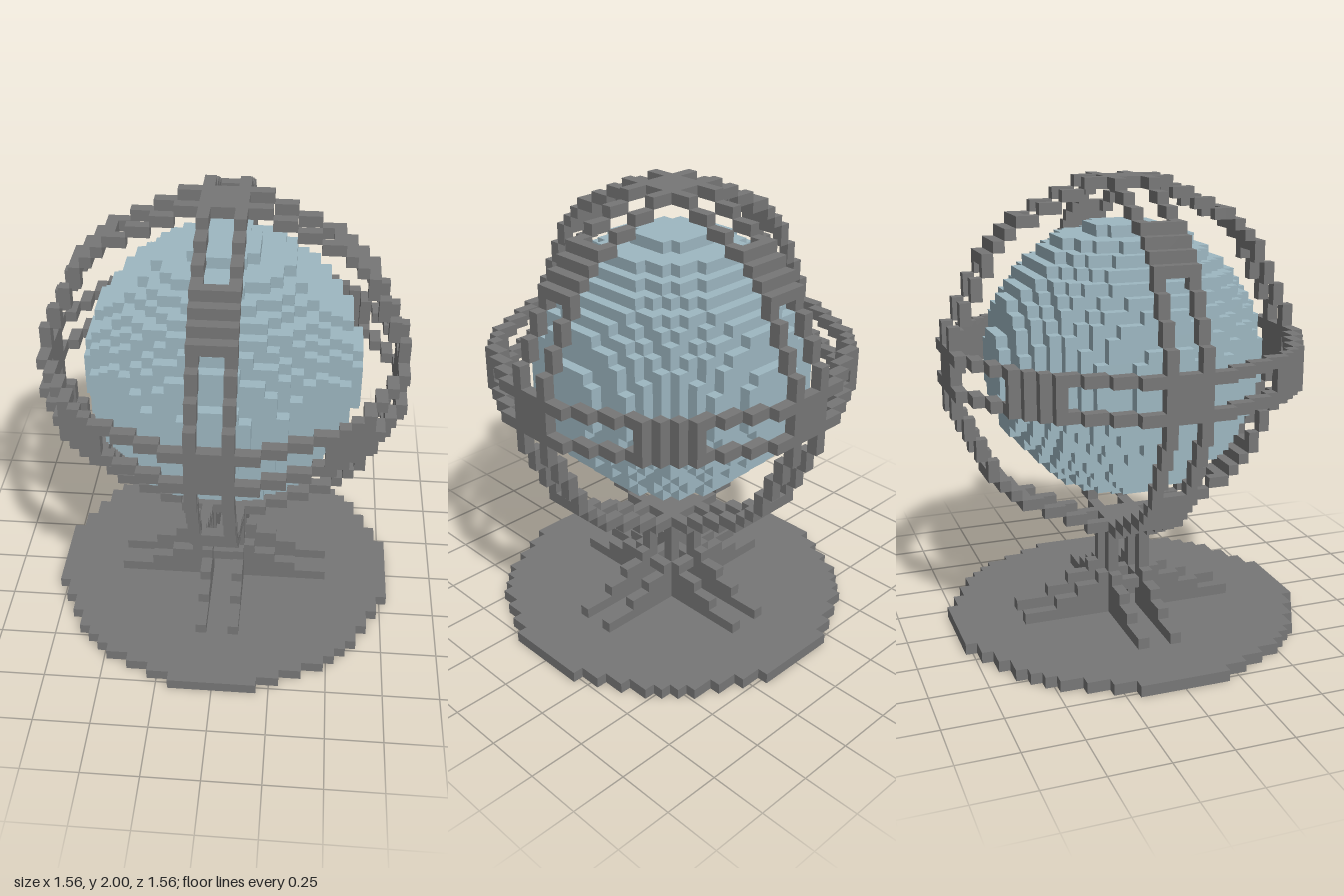
import * as THREE from 'three';

const CELL = 2 / 41;   // edge of one cube
const CENTRE = 25;     // globe centre height, in cells

// half width of the round outline for each row, counted outward from the middle
const OUTLINE = [16, 16, 16, 16, 15, 15, 14, 14, 13, 13, 12, 11, 10, 8, 6, 4];

// mirrored cell number: 1 is next to the middle on either side
const mirror = (n) => (n >= 0 ? n + 1 : -n);

// the six faces of a cube: outward direction, then two edges with u x v = direction
const FACES = [];
for (let axis = 0; axis < 3; axis++) {
  for (const sign of [1, -1]) {
    const d = [0, 0, 0], u = [0, 0, 0], v = [0, 0, 0];
    d[axis] = sign;
    u[(axis + (sign > 0 ? 1 : 2)) % 3] = 1;
    v[(axis + (sign > 0 ? 2 : 1)) % 3] = 1;
    FACES.push({ d, u, v });
  }
}

// builds only the exposed cube faces of the solid described by filled(x, y, z)
function cubes(name, material, y0, y1, filled) {
  const inside = (x, y, z) => y >= y0 && y < y1 && filled(x, y, z);
  const pos = [], nor = [], idx = [];
  for (let x = -16; x < 16; x++) for (let y = y0; y < y1; y++) for (let z = -16; z < 16; z++) {
    if (!inside(x, y, z)) continue;
    for (const { d, u, v } of FACES) {
      if (inside(x + d[0], y + d[1], z + d[2])) continue;
      const n = pos.length / 3;
      for (const [s, t] of [[0, 0], [1, 0], [1, 1], [0, 1]]) {
        [x, y, z].forEach((c, i) => pos.push((c + Math.max(d[i], 0) + s * u[i] + t * v[i]) * CELL));
        nor.push(...d);
      }
      idx.push(n, n + 1, n + 2, n, n + 2, n + 3);
    }
  }
  const geometry = new THREE.BufferGeometry();
  geometry.setAttribute('position', new THREE.Float32BufferAttribute(pos, 3));
  geometry.setAttribute('normal', new THREE.Float32BufferAttribute(nor, 3));
  geometry.setIndex(idx);
  const mesh = new THREE.Mesh(geometry, material);
  mesh.name = name;
  return mesh;
}

// one-cell-thick circle
function onRing(a, b) {
  if (a > 16 || b > 16) return false;
  const w = OUTLINE[b - 1], next = OUTLINE[b] ?? 0;
  return a <= w && a > Math.min(next, w - 1);
}

// pair of parallel rings, tied together at the crossings and the diagonals
function onBand(a, b, offset) {
  if (offset > 2 || !onRing(a, b)) return false;
  const m = Math.min(a, b);
  return offset === 2 || m <= 2 || m >= 10;
}

export function createModel() {
  const metal = new THREE.MeshStandardMaterial({ color: 0x777777 });
  metal.name = 'grey metal';
  const glass = new THREE.MeshStandardMaterial({ color: 0x9db7c1 });
  glass.name = 'pale blue';

  const model = new THREE.Group();
  model.name = 'cagedGlobe';

  // globe
  model.add(cubes('globe', glass, 13, 37, (x, y, z) =>
    (x + 0.5) ** 2 + (y - CENTRE + 0.5) ** 2 + (z + 0.5) ** 2 <= 144));

  // cage of three crossing ring pairs
  model.add(cubes('cage', metal, 9, 41, (x, y, z) => {
    const i = mirror(x), j = mirror(y - CENTRE), k = mirror(z);
    return onBand(i, j, k) || onBand(j, k, i) || onBand(i, k, j);
  }));

  // four posts with stepped paired fins and a square tie
  const reach = [0, 10, 7, 5, 3, 2, 2, 2, 2];
  model.add(cubes('stand', metal, 1, 9, (x, y, z) => {
    const i = mirror(x), k = mirror(z);
    const lo = Math.min(i, k), hi = Math.max(i, k);
    return (lo === 2 && hi <= reach[y]) || (y === 3 && lo === 1 && hi === 2);
  }));

  // round base plate
  model.add(cubes('base', metal, 0, 1, (x, y, z) => mirror(x) <= (OUTLINE[mirror(z) - 1] ?? 0)));

  return model;
}
